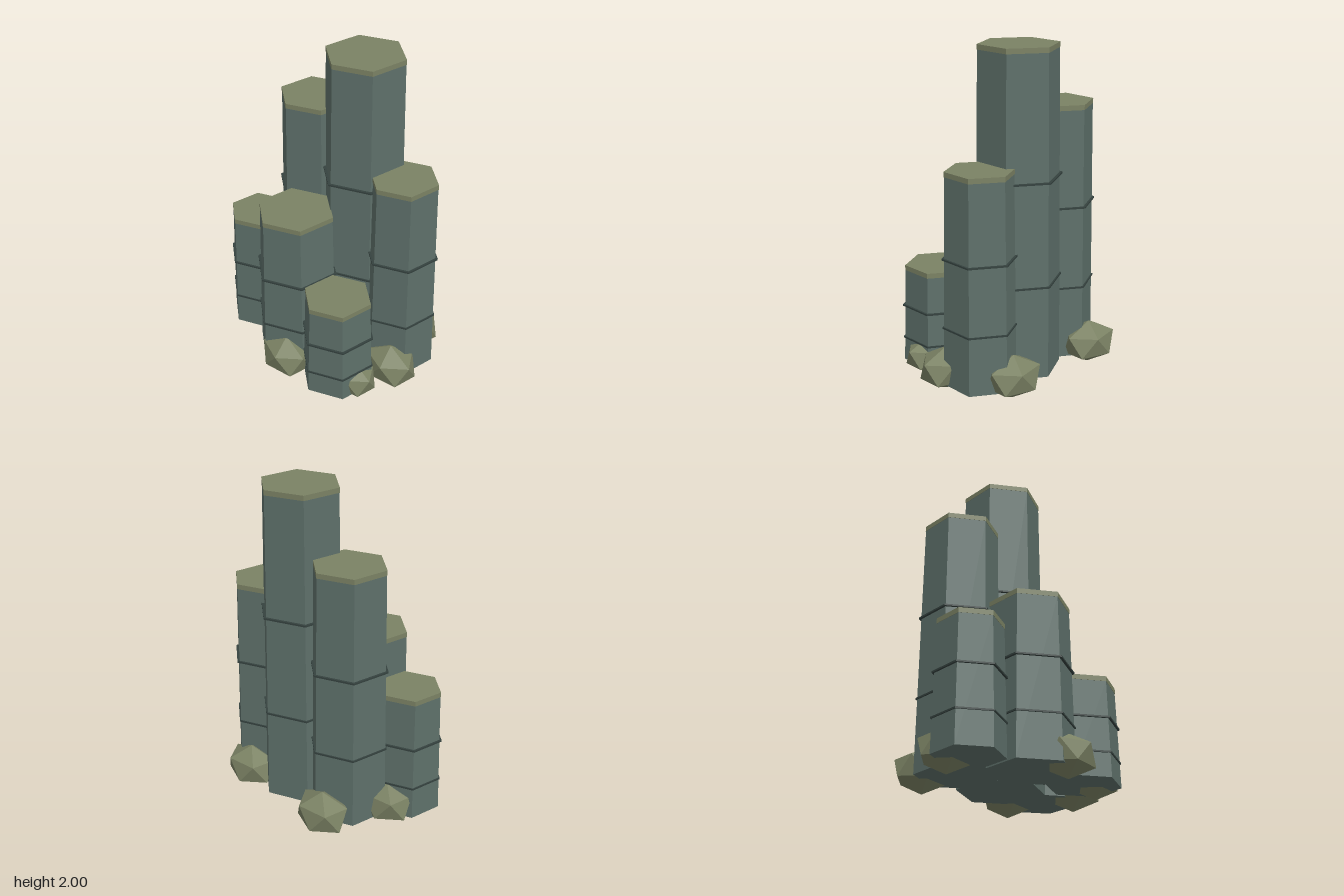
import * as THREE from 'three';

const stone = new THREE.MeshStandardMaterial({ color: 0x5e706a });
stone.name = 'blue grey stone';
const lichen = new THREE.MeshStandardMaterial({ color: 0x7b8264 });
lichen.name = 'olive stone';
const seam = new THREE.MeshStandardMaterial({ color: 0x35423f });
seam.name = 'dark seam';

const BASE = 0.06;

// Six-sided prism with flat faces, one corner pointing to +z
function hexPrism(name, rTop, rBottom, y0, y1, material) {
  const geo = new THREE.CylinderGeometry(rTop, rBottom, y1 - y0, 6).toNonIndexed();
  geo.computeVertexNormals();
  const mesh = new THREE.Mesh(geo, material);
  mesh.name = name;
  mesh.position.y = (y0 + y1) / 2;
  return mesh;
}

// Tapered column with a pale cap and two thin joint rings
function column(name, x, z, top, rCap, rBase) {
  const g = new THREE.Group();
  g.name = name;
  g.position.set(x, 0, z);
  g.add(hexPrism('shaft', rCap - 0.002, rBase, BASE, top - 0.03, stone));
  g.add(hexPrism('cap', rCap, rCap, top - 0.03, top, lichen));
  for (const f of [0.31, 0.62]) {
    g.add(hexPrism('jointRing', rBase * 1.015, rBase * 1.015, top * f - 0.005, top * f + 0.005, seam));
  }
  return g;
}

// Twenty-sided boulder with its points straight up and down
function boulderGeometry() {
  const ring = (y, offset) => Array.from({ length: 5 }, (_, i) => {
    const a = (i * 2 + offset) * Math.PI / 5;
    return new THREE.Vector3(Math.cos(a) * 0.8944, y, Math.sin(a) * 0.8944);
  });
  const up = ring(0.4472, 0), low = ring(-0.4472, 1);
  const north = new THREE.Vector3(0, 1, 0), south = new THREE.Vector3(0, -1, 0);
  const points = [];
  for (let i = 0; i < 5; i++) {
    const j = (i + 1) % 5;
    points.push(north, up[j], up[i]);
    points.push(up[i], up[j], low[i]);
    points.push(up[j], low[j], low[i]);
    points.push(south, low[i], low[j]);
  }
  const geo = new THREE.BufferGeometry().setFromPoints(points);
  geo.computeVertexNormals();
  return geo;
}

export function createModel() {
  const model = new THREE.Group();
  model.name = 'basaltColumns';

  // Columns: x, z, top, cap radius, base radius
  const columns = [
    ['tallColumn', 0.058, -0.178, 2.0, 0.24, 0.26],
    ['backRightColumn', -0.317, -0.115, 1.62, 0.223, 0.24],
    ['backLeftColumn', 0.381, -0.21, 1.335, 0.205, 0.221],
    ['frontColumn', -0.075, 0.225, 1.063, 0.236, 0.254],
    ['frontRightColumn', -0.49, 0.2, 0.84, 0.19, 0.205],
    ['frontLeftColumn', 0.325, 0.225, 0.665, 0.207, 0.223],
  ];
  for (const c of columns) model.add(column(...c));

  // Boulders around the foot: x, z, size
  const geo = boulderGeometry();
  const boulders = [
    [-0.38, -0.35, 1],
    [0.305, -0.402, 0.99],
    [0.503, -0.045, 1],
    [0.04, 0.397, 0.98],
    [0.45, 0.195, 0.84],
    [-0.505, 0.032, 1],
  ];
  for (const [x, z, s] of boulders) {
    const rock = new THREE.Mesh(geo, lichen);
    rock.name = 'boulder';
    rock.scale.set(0.19 * s, 0.133 * s, 0.152 * s);
    rock.position.set(x, 0.133 - (1 - s) * 0.08, z);
    model.add(rock);
  }
  return model;
}
